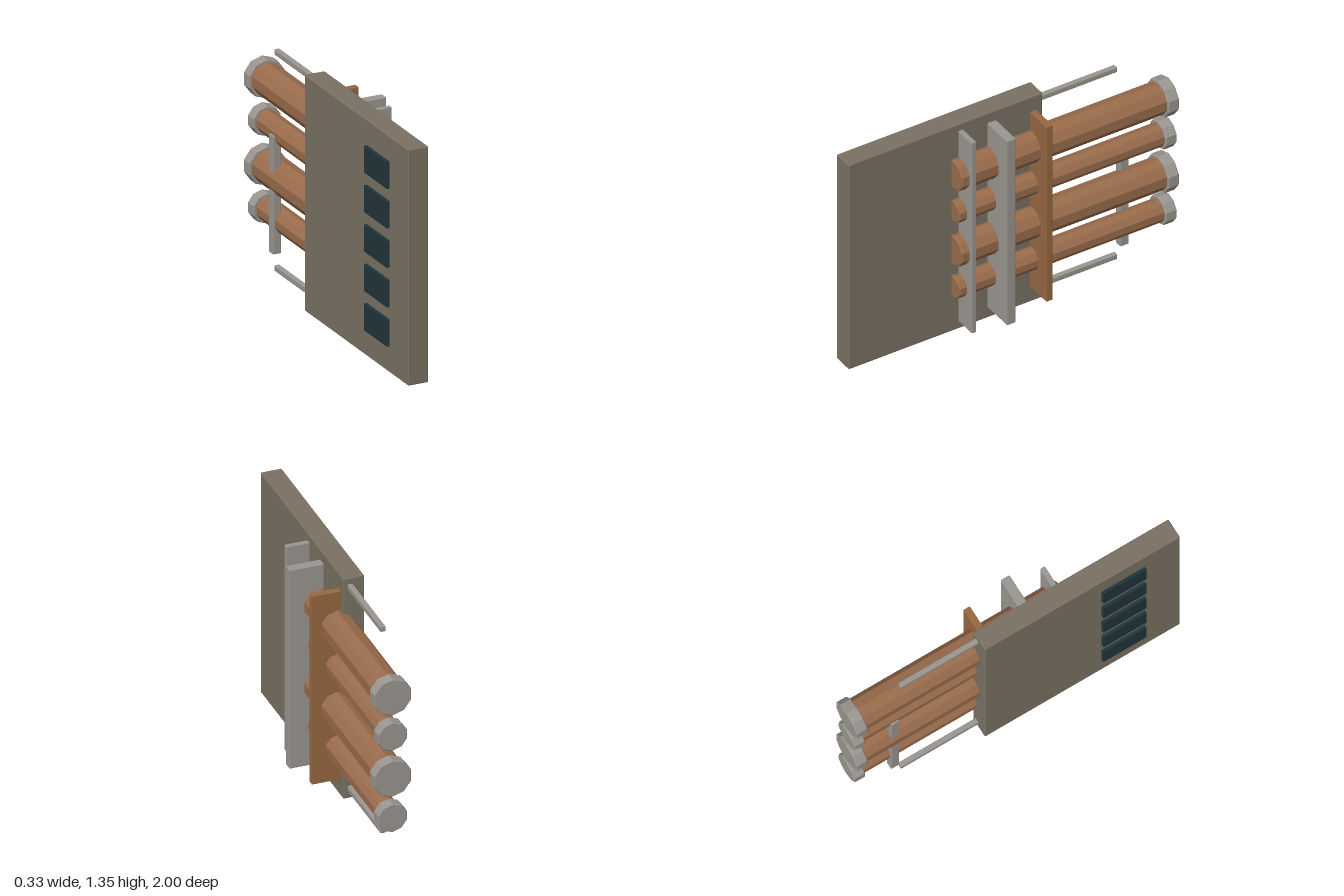
import * as THREE from 'three';
import { RoundedBoxGeometry } from 'three/addons/geometries/RoundedBoxGeometry.js';

const material = (color) => new THREE.MeshStandardMaterial({ color, flatShading: true });

export function createModel() {
  const model = new THREE.Group();
  model.name = 'pipeWall';
  const stone = material(0x7a7163);
  const steel = material(0x9a9590);
  const copper = material(0x9a6c4c);
  const rust = material(0x966840);
  const glass = material(0x20343a);

  function add(name, geometry, mat) {
    const mesh = new THREE.Mesh(geometry, mat);
    mesh.name = name;
    model.add(mesh);
    return mesh;
  }

  // Box with a small chamfer, given by its extents
  function box(name, [x0, x1], [y0, y1], [z0, z1], mat, bevel = 0.004) {
    const geometry = new RoundedBoxGeometry(x1 - x0, y1 - y0, z1 - z0, 1, bevel);
    geometry.translate((x0 + x1) / 2, (y0 + y1) / 2, (z0 + z1) / 2);
    return add(name, geometry, mat);
  }

  // Ten-sided bar along z with chamfered ends
  function tube(name, radius, y, z0, z1, mat) {
    const b = 0.005;
    const half = (z1 - z0) / 2;
    const profile = [
      [0, -half], [radius - b, -half], [radius, -half + b],
      [radius, half - b], [radius - b, half], [0, half],
    ].map(([r, h]) => new THREE.Vector2(r, h));
    const geometry = new THREE.LatheGeometry(profile, 10);
    geometry.rotateX(Math.PI / 2);
    geometry.translate(-0.01, y, (z0 + z1) / 2);
    return add(name, geometry, mat);
  }

  // Main slab
  box('wall', [-0.15, -0.03], [0, 1.352], [-0.22, 1], stone, 0.006);

  // Column of dark windows on the outer side
  for (let i = 0; i < 5; i++) {
    const y = 0.226 + i * 0.226;
    box('window', [-0.167, -0.145], [y - 0.078, y + 0.078], [0.51, 0.78], glass);
  }

  // Alternating large and small pipes with end caps
  for (const [y, radius, capRadius] of [
    [1.049, 0.094, 0.112],
    [0.807, 0.068, 0.087],
    [0.549, 0.094, 0.112],
    [0.307, 0.068, 0.087],
  ]) {
    tube('pipe', radius, y, -0.94, 0.355, copper);
    tube('pipeCap', capRadius, y, -1, -0.932, steel);
  }

  // Upright plates that clamp the pipes to the wall
  box('thinPlate', [-0.04, 0.102], [0.048, 1.308], [0.28, 0.309], steel);
  box('widePlate', [-0.04, 0.164], [0.068, 1.288], [0.072, 0.126], steel);
  box('rearPlate', [-0.04, 0.134], [0.1, 1.258], [-0.18, -0.14], rust);

  // Rods above and below the pipes, and the bar joining them at the rear
  for (const y of [0.06, 1.298]) {
    box('rod', [-0.084, -0.054], [y - 0.016, y + 0.016], [-0.705, -0.21], steel);
  }
  box('rearBar', [-0.085, -0.037], [0.132, 0.81], [-0.766, -0.714], steel);

  return model;
}
